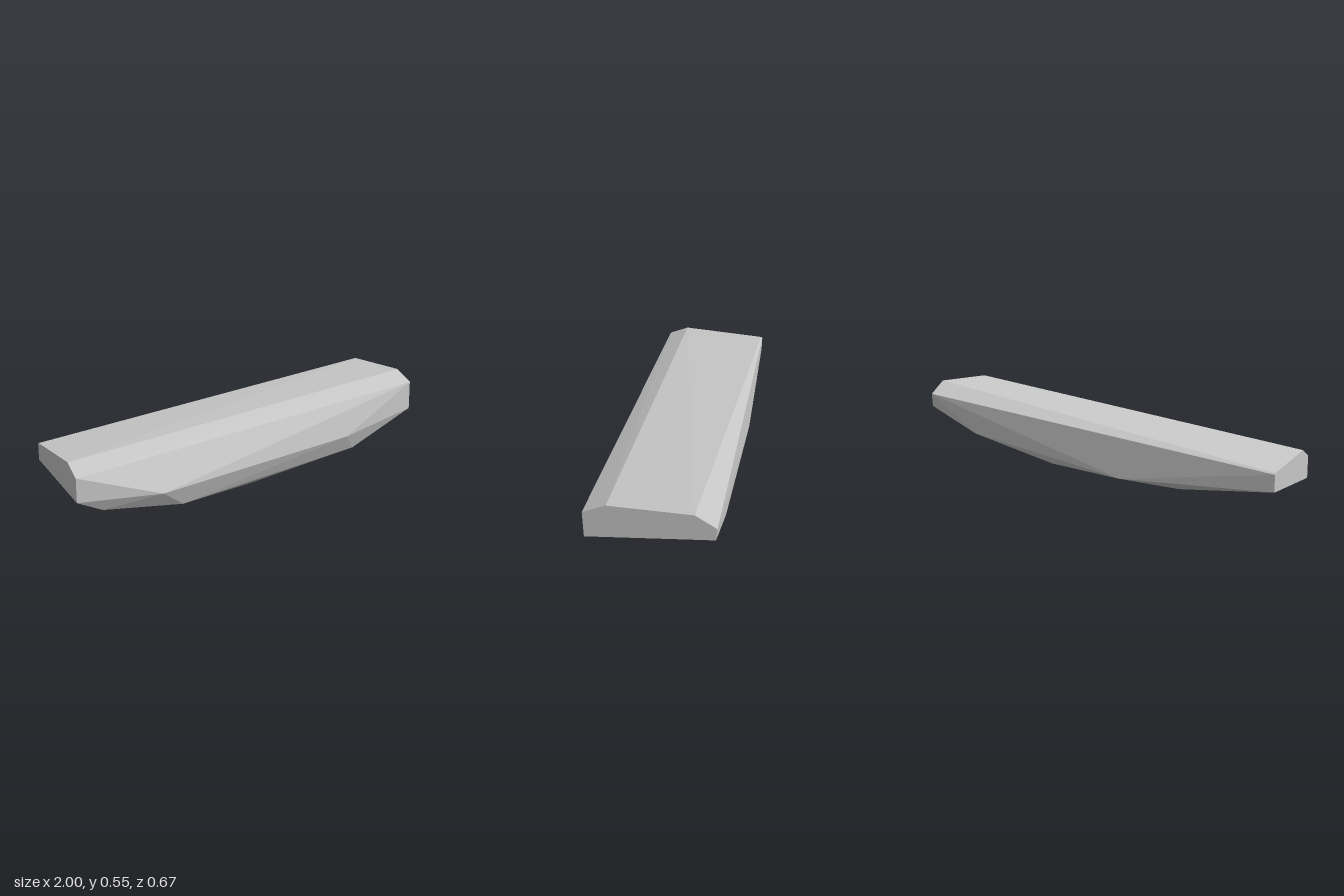
import * as THREE from 'three';
import { ConvexGeometry } from 'three/addons/geometries/ConvexGeometry.js';

export function createModel() {
  const group = new THREE.Group();
  group.name = 'rockSlab';
  const stone = new THREE.MeshStandardMaterial({ color: 0xc7c7c7, flatShading: true });
  stone.name = 'light grey stone';

  // End outlines as [z, y]
  const highEnd = [[0.283, 0.48], [0.17, 0.538], [-0.225, 0.548], [-0.325, 0.483], [-0.32, 0.413], [0.285, 0.327]];
  const lowEnd = [[0.28, 0.21], [0.17, 0.26], [-0.312, 0.242], [-0.32, 0.235], [-0.32, 0.15], [0.28, 0.09]];

  // Chipped corners between the ends as [x, y, z]
  const frontCorners = [[0.53, 0.227, 0.326], [0.6, 0.145, 0.285], [-0.58, 0.084, 0.336]];
  const undersideCorners = [[-0.05, 0.025, 0.247], [-0.46, 0, 0.3], [-0.87, 0.03, 0.27], [-0.48, 0.081, -0.22]];
  const backCorners = [[0.7, 0.28, -0.325], [0.22, 0.156, -0.3], [-0.2, 0.128, -0.336]];

  const points = [
    ...highEnd.map(([z, y]) => [1, y, z]),
    ...lowEnd.map(([z, y]) => [-1, y, z]),
    ...frontCorners, ...undersideCorners, ...backCorners,
  ].map((p) => new THREE.Vector3(...p));

  const slab = new THREE.Mesh(new ConvexGeometry(points), stone);
  slab.name = 'slab';
  group.add(slab);
  return group;
}
